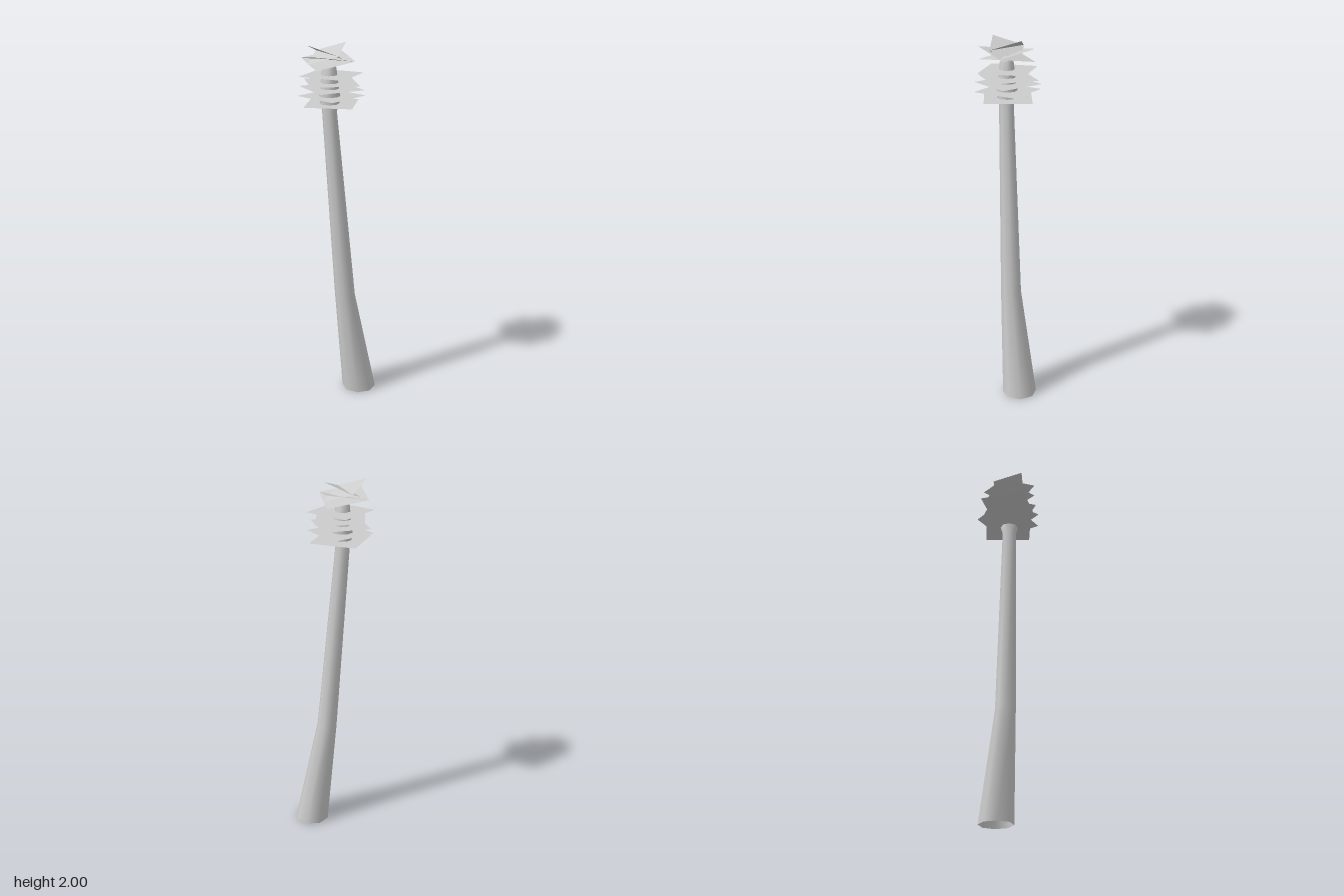
import * as THREE from 'three';
import { mergeVertices } from 'three/addons/utils/BufferGeometryUtils.js';

const material = new THREE.MeshStandardMaterial({ color: 0xcccccc, side: THREE.DoubleSide });
const rad = THREE.MathUtils.degToRad;

// Trunk sections from the ground up: [x, y, z, radius]
const sections = [
  [0.12, 0, 0.012, 0.095],
  [0.03, 0.6, 0.018, 0.056],
  [-0.052, 1.65, 0, 0.039],
  [-0.05, 1.72, -0.002, 0.057],
  [-0.052, 1.88, -0.002, 0.036],
  [-0.052, 1.905, -0.002, 0.02],
  [-0.052, 1.912, -0.002, 0.0005],
];

// Eight-sided trunk: each row of a cylinder is moved to its section
function createTrunk() {
  const rows = sections.length - 1;
  let geometry = new THREE.CylinderGeometry(1, 1, rows, 8, rows, true);
  geometry.translate(0, rows / 2, 0).rotateY(rad(20));
  geometry.deleteAttribute('uv');
  geometry.deleteAttribute('normal');
  const p = geometry.attributes.position;
  for (let i = 0; i < p.count; i++) {
    const [x, y, z, r] = sections[Math.round(p.getY(i))];
    p.setXYZ(i, x + p.getX(i) * r, y, z + p.getZ(i) * r);
  }
  geometry = mergeVertices(geometry);
  geometry.computeVertexNormals();
  const mesh = new THREE.Mesh(geometry, material);
  mesh.name = 'trunk';
  return mesh;
}

// Square leaf card; the corner at the given angle is raised, its opposite lowered
function createLeafCard(name, [x, y, z], radius, angle, rise = 0) {
  const points = [];
  for (let k = 0; k < 4; k++) {
    const a = rad(angle + k * 90);
    points.push(x + radius * Math.cos(a), y + rise * Math.cos(k * Math.PI / 2), z + radius * Math.sin(a));
  }
  const geometry = new THREE.BufferGeometry();
  geometry.setAttribute('position', new THREE.Float32BufferAttribute(points, 3));
  geometry.setIndex([0, 2, 1, 0, 3, 2]);
  geometry.computeVertexNormals();
  const mesh = new THREE.Mesh(geometry, material);
  mesh.name = name;
  return mesh;
}

export function createModel() {
  const model = new THREE.Group();
  model.name = 'palmTree';
  model.add(createTrunk());

  const crown = new THREE.Group();
  crown.name = 'crown';

  // Flat leaf layers, each turned against the next: [height, angle]
  [[1.69, 73], [1.73, 18], [1.77, 37], [1.8, 55], [1.84, 0]].forEach(([y, angle], i) => {
    crown.add(createLeafCard(`flatLeaf${i + 1}`, [-0.04, y, -0.002], 0.178, angle));
  });

  // Two crossed pairs of tilted leaves at the tip
  for (const turn of [0, 180]) {
    const side = turn ? 'B' : 'A';
    crown.add(createLeafCard(`middleLeaf${side}`, [-0.057, 1.918, -0.005], 0.152, 132 + turn, 0.034));
    crown.add(createLeafCard(`topLeaf${side}`, [-0.0625, 1.95, -0.009], 0.115, 169 + turn, 0.05));
  }
  model.add(crown);
  return model;
}
